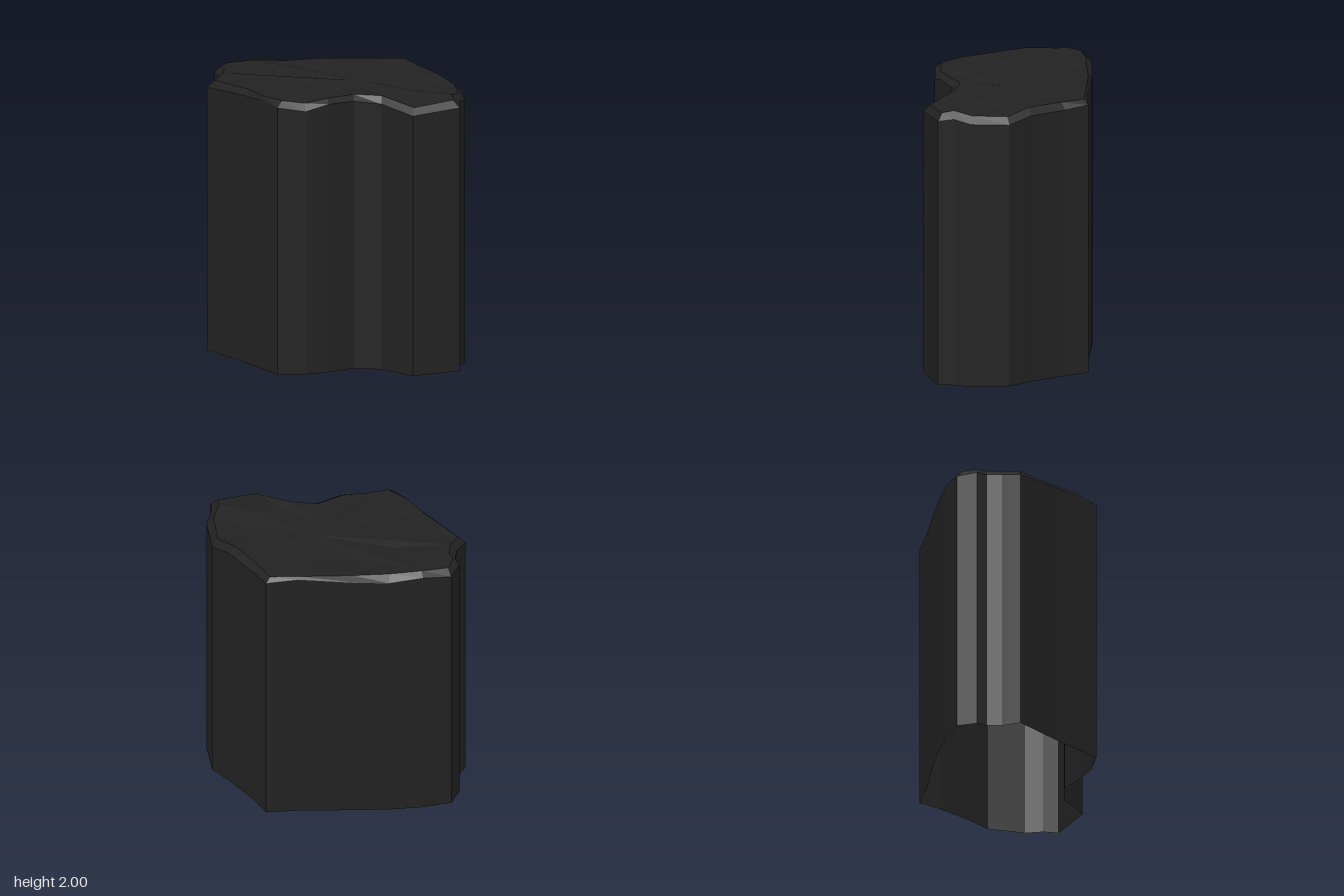
import * as THREE from 'three';

// Rim corners, going round from the back: outer x, outer z, wall height, bevel x, bevel z
const RIM = [
  [-0.49, -0.81, 1.94, -0.49, -0.765], [-0.29, -0.76, 1.965, -0.3, -0.72],
  [-0.07, -0.67, 1.94, -0.09, -0.63], [0.13, -0.57, 1.95, 0.15, -0.535],
  [0.49, -0.375, 1.98, 0.48, -0.365], [0.71, -0.28, 1.965, 0.67, -0.265],
  [0.71, -0.1, 1.95, 0.67, -0.09], [0.745, 0.18, 1.95, 0.7, 0.18],
  [0.785, 0.365, 1.915, 0.74, 0.36], [0.69, 0.62, 1.925, 0.65, 0.59],
  [0.6, 0.71, 1.95, 0.55, 0.69], [0.55, 0.81, 1.935, 0.52, 0.765],
  [0.2, 0.765, 1.91, 0.23, 0.73], [0.08, 0.52, 1.95, 0.1, 0.48],
  [-0.08, 0.41, 1.965, -0.06, 0.36], [-0.28, 0.41, 1.97, -0.27, 0.365],
  [-0.45, 0.38, 1.93, -0.44, 0.335], [-0.63, 0.295, 1.96, -0.58, 0.27],
  [-0.66, 0.1, 1.97, -0.645, 0.1], [-0.7, -0.1, 1.96, -0.66, -0.1],
  [-0.79, -0.475, 1.93, -0.74, -0.455], [-0.675, -0.555, 1.95, -0.635, -0.53],
  [-0.615, -0.64, 1.95, -0.575, -0.62], [-0.605, -0.72, 1.95, -0.57, -0.69],
];
const CENTER = [0.15, 1.99, 0.05];

// Joins neighbouring closed rings of points with outward-facing quads
function bridge(rings) {
  const n = rings[0].length;
  const index = [];
  for (let r = 0; r < rings.length - 1; r++) {
    for (let i = 0; i < n; i++) {
      const a = r * n + i, b = r * n + (i + 1) % n;
      index.push(a, a + n, b + n, a, b + n, b);
    }
  }
  const geometry = new THREE.BufferGeometry();
  geometry.setAttribute('position', new THREE.Float32BufferAttribute(rings.flat(2), 3));
  geometry.setIndex(index);
  geometry.computeVertexNormals();
  return geometry;
}

export function createModel() {
  const stone = new THREE.MeshStandardMaterial({ color: 0x222222, flatShading: true, side: THREE.DoubleSide });
  stone.name = 'dark stone';

  const base = RIM.map(([x, z]) => [x, 0, z]);
  const wallTop = RIM.map(([x, z, y]) => [x, y, z]);
  const bevelTop = RIM.map(([, , y, x, z]) => [x, Math.min(2, y + 0.05), z]);

  // Gently uneven ring between the bevel and the centre of the top
  const shrink = (t, height) => bevelTop.map(([x, , z], i) => [
    CENTER[0] + (x - CENTER[0]) * t, height(i), CENTER[2] + (z - CENTER[2]) * t]);
  const middle = shrink(0.6, (i) => 1.988 + 0.01 * Math.sin(i * 1.9));
  const peak = RIM.map(() => CENTER);

  const group = new THREE.Group();
  group.name = 'rockColumn';
  const add = (name, ...rings) => {
    const mesh = new THREE.Mesh(bridge(rings), stone);
    mesh.name = name;
    group.add(mesh);
  };
  add('cliffWall', base, wallTop); // open underneath
  add('bevelledRim', wallTop, bevelTop);
  add('unevenTop', bevelTop, middle, peak);
  return group;
}
